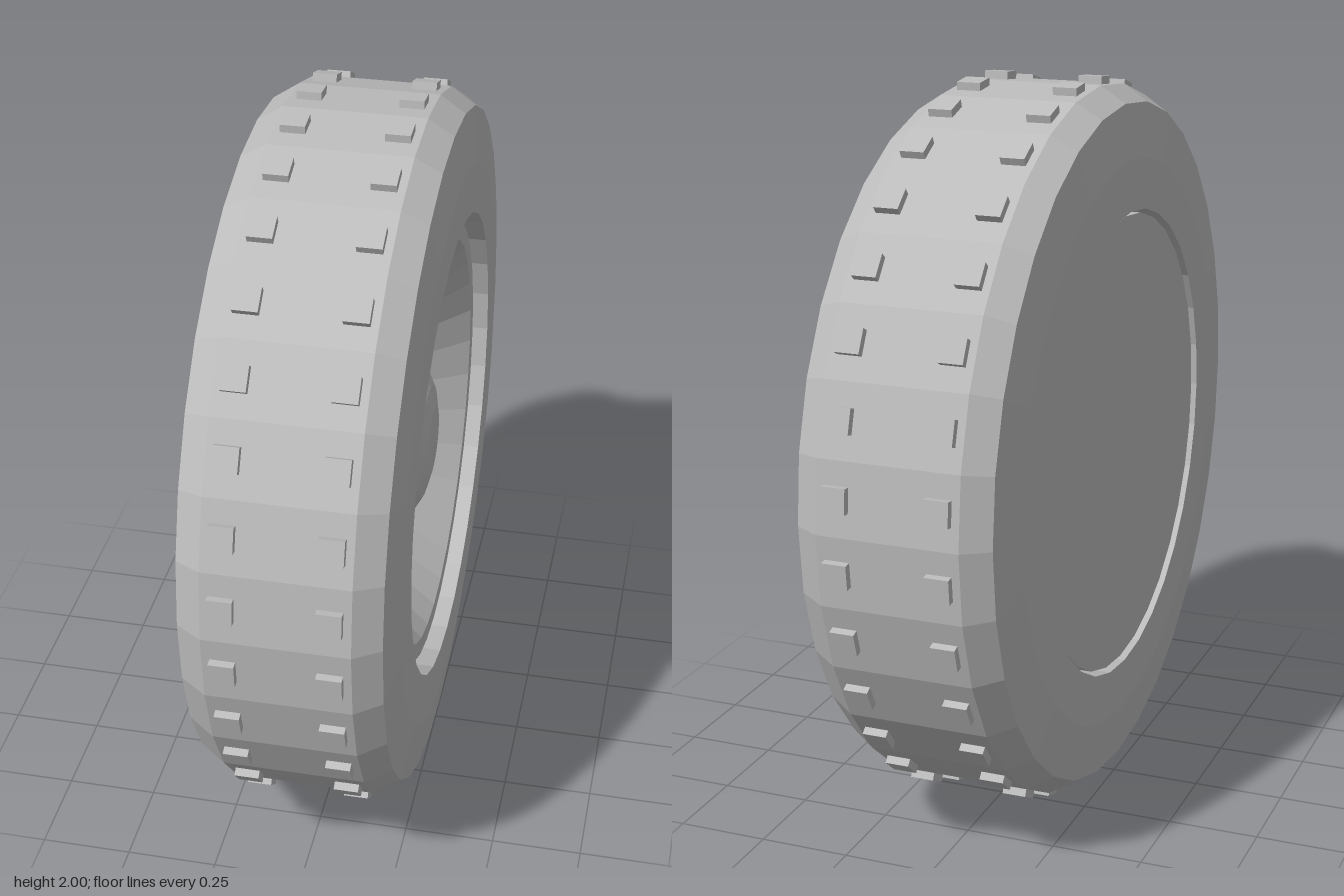
import * as THREE from 'three';

const SEGMENTS = 32;

export function createModel() {
  const grey = new THREE.MeshStandardMaterial({ color: 0xbcbcbc, flatShading: true });
  grey.name = 'plain grey';

  const model = new THREE.Group();
  model.name = 'wheel';
  const wheel = new THREE.Group();
  wheel.name = 'wheelOnAxle';
  wheel.position.y = 1;
  model.add(wheel);

  // Turned part about the x axle; profile entries are [x, radius]
  function turned(name, profile) {
    const points = profile.map(([x, r]) => new THREE.Vector2(r, x));
    const geometry = new THREE.LatheGeometry(points, SEGMENTS);
    geometry.rotateZ(-Math.PI / 2);
    const mesh = new THREE.Mesh(geometry, grey);
    mesh.name = name;
    wheel.add(mesh);
  }

  // Tyre: closed ring with bevelled shoulders
  turned('tyre', [
    [-0.278, 0.65], [-0.278, 0.79], [-0.26, 0.94], [-0.19, 0.985],
    [0.19, 0.985], [0.26, 0.94], [0.278, 0.79], [0.278, 0.65], [-0.278, 0.65],
  ]);

  // Rim: flat closed back, raised lip and dished front
  turned('rim', [
    [-0.265, 0], [-0.265, 0.638], [0.215, 0.638], [0.237, 0.62],
    [0.237, 0.57], [0.115, 0.465], [0.115, 0],
  ]);

  // Domed hub cap
  turned('hubCap', [
    [0.11, 0.272], [0.118, 0.272], [0.145, 0.235], [0.182, 0.205],
    [0.207, 0.16], [0.222, 0.1], [0.226, 0],
  ]);

  // Two rows of square tread studs, one on each flat of the tyre
  const studGeometry = new THREE.BoxGeometry(0.066, 0.04, 0.066);
  const treads = new THREE.Group();
  treads.name = 'treadStuds';
  wheel.add(treads);
  for (const x of [-0.136, 0.136]) {
    for (let i = 0; i < SEGMENTS; i++) {
      const angle = ((i + 0.5) / SEGMENTS) * Math.PI * 2;
      const stud = new THREE.Mesh(studGeometry, grey);
      stud.name = 'treadStud';
      stud.position.set(x, Math.cos(angle) * 0.9815, Math.sin(angle) * 0.9815);
      stud.rotation.x = angle;
      treads.add(stud);
    }
  }

  return model;
}
